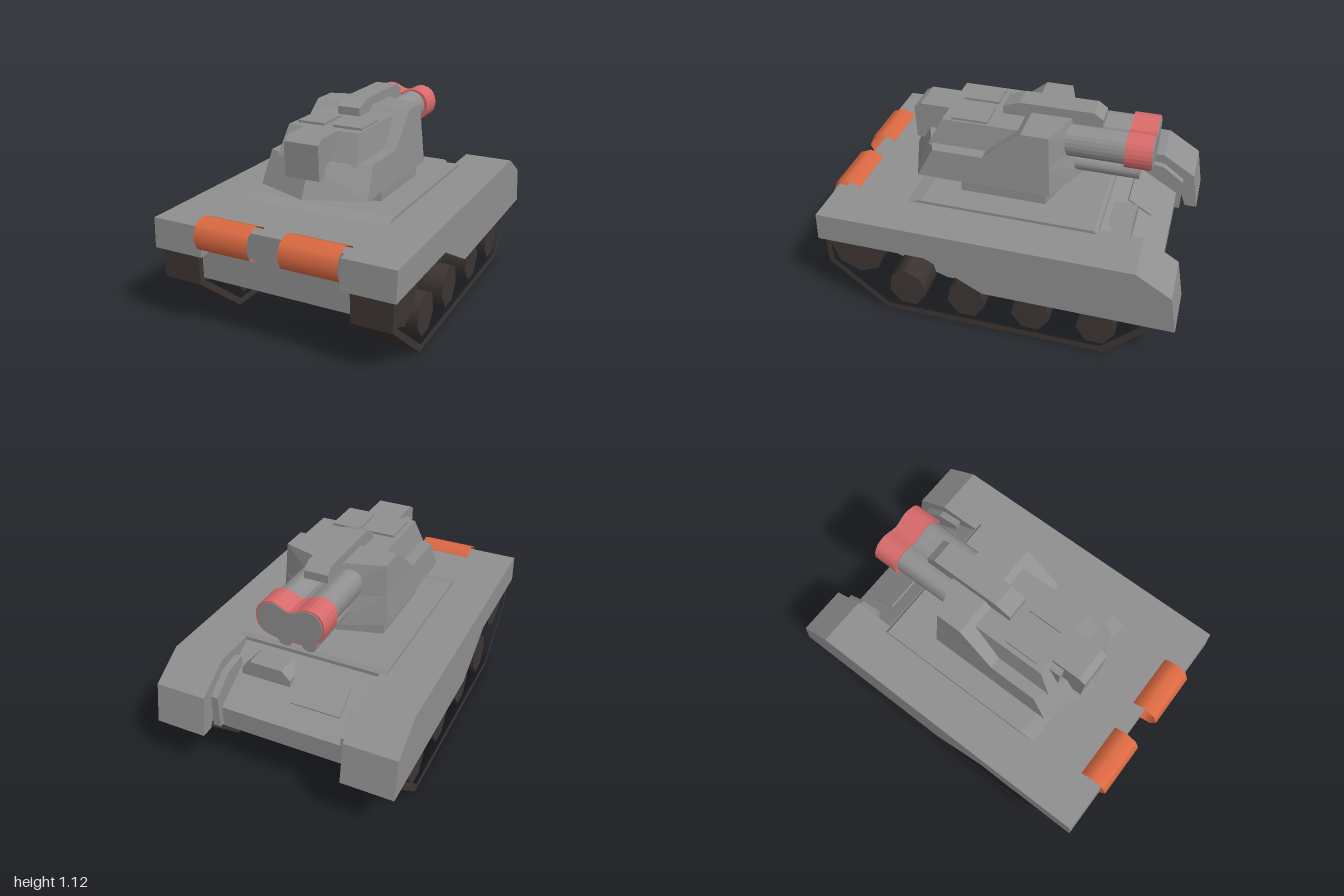
import * as THREE from 'three';
import { ConvexGeometry } from 'three/addons/geometries/ConvexGeometry.js';

const mat = (name, color, side = THREE.FrontSide) => {
  const m = new THREE.MeshStandardMaterial({ color, side });
  m.name = name;
  return m;
};

export function createModel() {
  const grey = mat('armour grey', 0x909090);
  const dark = mat('track brown', 0x3d3533);
  const orange = mat('roll orange', 0xdc6a42, THREE.DoubleSide);
  const red = mat('muzzle red', 0xd86a6a);
  const model = new THREE.Group();
  model.name = 'tank';

  const add = (name, geometry, material, parent = model) => {
    const mesh = new THREE.Mesh(geometry, material);
    mesh.name = name;
    parent.add(mesh);
    return mesh;
  };
  const group = (name) => {
    const g = new THREE.Group();
    g.name = name;
    model.add(g);
    return g;
  };
  const shapeOf = (pts) => new THREE.Shape(pts.map((p) => new THREE.Vector2(...p)));
  // side profile of [z, y] points, extruded from x0 to x1
  const sideExtrude = (pts, x0, x1, hole) => {
    const shape = shapeOf(pts);
    if (hole) shape.holes.push(shapeOf(hole));
    const g = new THREE.ExtrudeGeometry(shape, { depth: x1 - x0, bevelEnabled: false });
    return g.rotateY(-Math.PI / 2).translate(x1, 0, 0);
  };
  // convex block from rings of [x, y, z] corners, mirrored across x
  const block = (pts) => new ConvexGeometry(
    pts.flatMap(([x, y, z]) => (x ? [[x, y, z], [-x, y, z]] : [[x, y, z]]))
      .map((p) => new THREE.Vector3(...p)));
  const box = (x0, x1, y0, y1, z0, z1) => new THREE.BoxGeometry(x1 - x0, y1 - y0, z1 - z0)
    .translate((x0 + x1) / 2, (y0 + y1) / 2, (z0 + z1) / 2);
  // cylinder along x with a corner at the top
  const roller = (r, x0, x1, y, z, sides, open = false, squash = 1) =>
    new THREE.CylinderGeometry(r, r, x1 - x0, sides, 1, open)
      .rotateZ(Math.PI / 2).rotateX(-Math.PI / 2).scale(1, 1, squash)
      .translate((x0 + x1) / 2, y, z);

  // hull
  add('hull', sideExtrude([[0.91, 0.62], [-0.53, 0.62], [-0.53, 0.6], [-0.87, 0.39],
    [-0.87, 0.27], [-0.68, 0.1], [0.33, 0.1], [0.91, 0.31]], -0.4, 0.4), grey);
  add('lowerHull', sideExtrude([[0.91, 0.46], [-0.75, 0.46], [-0.87, 0.39], [-0.87, 0.27],
    [-0.68, 0.1], [0.33, 0.1], [0.91, 0.31]], -0.433, 0.433), grey);
  add('deckPlate', sideExtrude([[0.55, 0.615], [0.45, 0.637], [-0.51, 0.637], [-0.53, 0.615]],
    -0.435, 0.435), grey);

  // fenders, skirts and running gear on both sides
  const wheels = [[0.49, 0.16], [0.145, 0.16], [-0.225, 0.16], [-0.585, 0.155]];
  for (const s of [1, -1]) {
    const span = (a, b) => (s > 0 ? [a, b] : [-b, -a]);
    const side = group(s > 0 ? 'leftSide' : 'rightSide');
    add('fender', sideExtrude([[0.97, 0.455], [0.96, 0.62], [-0.77, 0.62], [-0.96, 0.5],
      [-1, 0.28], [-0.93, 0.28], [-0.86, 0.455]], ...span(0.395, 0.685)), grey, side);
    add('skirt', sideExtrude([[0.36, 0.46], [-0.9, 0.46], [-0.98, 0.28], [0.03, 0.28]],
      ...span(0.66, 0.685)), grey, side);
    add('rearBracket', sideExtrude([[-0.65, 0.58], [-0.78, 0.56], [-0.9, 0.47], [-0.9, 0.28],
      [-0.85, 0.28], [-0.85, 0.38], [-0.65, 0.48]], ...span(0.355, 0.4)), grey, side);
    add('track', sideExtrude(
      [[0.94, 0.46], [0.94, 0.28], [0.61, 0], [-0.64, 0], [-0.94, 0.3], [-0.87, 0.46]],
      ...span(0.435, 0.66),
      [[0.91, 0.44], [0.91, 0.3], [0.6, 0.04], [-0.62, 0.04], [-0.88, 0.3], [-0.83, 0.44]]), dark, side);
    wheels.forEach(([z, y]) =>
      add('roadWheel', roller(0.126, ...span(0.46, 0.64), y, z, 7, false, 0.87), dark, side));
    add('driveWheel', roller(0.175, ...span(0.46, 0.64), 0.4, 0.765, 8, false, 0.92), dark, side);
    add('rearWheel', roller(0.14, ...span(0.46, 0.64), 0.38, -0.76, 7), dark, side);
    add('returnRoller', roller(0.08, ...span(0.46, 0.64), 0.455, 0.3, 8), dark, side);
  }

  // rolls on the front edge
  add('leftRoll', roller(0.093, 0.08, 0.4, 0.568, 0.908, 8, true), orange);
  add('rightRoll', roller(0.093, -0.412, -0.095, 0.568, 0.908, 8, true), orange);

  // rear deck fittings
  const plate = add('rearHatch', box(-0.14, 0.14, -0.012, 0.012, -0.08, 0.08), grey);
  plate.position.set(-0.14, 0.5, -0.69);
  plate.rotation.x = -0.553;
  const vent = new THREE.ExtrudeGeometry(shapeOf([[0.04, 0.45], [0.33, 0.45], [0.33, 0.54],
    [0.28, 0.59], [0.09, 0.59], [0.04, 0.54]]), { depth: 0.13, bevelEnabled: false });
  add('vent', vent.translate(0, 0, -0.69), grey);

  // turret
  const turret = group('turret');
  const ring = (y, x, tip, front, back, tail) =>
    [[0, y, tip], [x, y, front], [x, y, back], [0, y, tail]];
  add('turretRing', block([...ring(0.6, 0.28, 0.34, 0.27, -0.21, -0.29),
    ...ring(0.73, 0.28, 0.34, 0.27, -0.21, -0.29)]), grey, turret);
  add('turretBase', block([...ring(0.72, 0.315, 0.63, 0.51, -0.24, -0.38),
    ...ring(0.89, 0.302, 0.55, 0.42, -0.23, -0.345)]), grey, turret);
  add('turretFront', block([[0.235, 0.88, 0.47], [0.235, 0.88, -0.1],
    [0.208, 1.035, 0.39], [0.208, 1.035, -0.1]]), grey, turret);
  add('turretShoulder', block([[0.302, 0.88, 0.15], [0.302, 0.88, -0.23], [0, 0.88, -0.347],
    [0.29, 1.065, -0.07], [0.29, 1.065, -0.22], [0, 1.065, -0.31]]), grey, turret);
  add('lampHousing', sideExtrude([[0.4, 0.81], [0.595, 0.82], [0.6, 1.01], [0.56, 1.035],
    [0.38, 1.035]], -0.113, 0.085), grey, turret);
  add('lampSide', box(-0.153, -0.11, 0.83, 1.01, 0.38, 0.47), grey, turret);
  add('leftHatch', box(0.03, 0.195, 1.03, 1.048, 0.14, 0.34), grey, turret);
  add('rightHatch', box(-0.18, -0.025, 1.03, 1.048, 0.14, 0.34), grey, turret);
  add('roofBar', sideExtrude([[0.09, 1.03], [0.09, 1.08], [0, 1.115], [-0.41, 1.115],
    [-0.46, 1.08], [-0.46, 1.035]], -0.075, 0.06), grey, turret);

  // twin gun with a bean-shaped muzzle
  const bean = (k) => {
    const pts = [[-0.19, 0.02], [-0.165, 0.085], [-0.1, 0.105], [0, 0.07], [0.085, 0.105],
      [0.16, 0.08], [0.19, 0.01], [0.165, -0.065], [0.08, -0.1], [0, -0.105], [-0.08, -0.1],
      [-0.165, -0.06]].map(([x, y]) => new THREE.Vector2(x * k, y * k));
    return new THREE.Shape(new THREE.CatmullRomCurve3(
      pts.map((p) => new THREE.Vector3(p.x, p.y, 0)), true).getPoints(36)
      .slice(0, -1).map((p) => new THREE.Vector2(p.x, p.y)));
  };
  const beanPart = (k, z0, z1) => new THREE.ExtrudeGeometry(bean(k),
    { depth: z1 - z0, bevelEnabled: false }).translate(-0.008, 0.94, z0);
  add('barrelSleeve', beanPart(0.9, -0.62, -0.2), grey, turret);
  add('muzzleBand', beanPart(1, -0.742, -0.6), red, turret);
  add('muzzleFace', beanPart(0.94, -0.747, -0.741), grey, turret);
  for (const x of [-0.075, 0.06]) {
    add('lowerTube', new THREE.CylinderGeometry(0.045, 0.045, 0.4, 10)
      .rotateX(Math.PI / 2).translate(x, 0.8, -0.48), grey, turret);
  }
  return model;
}
